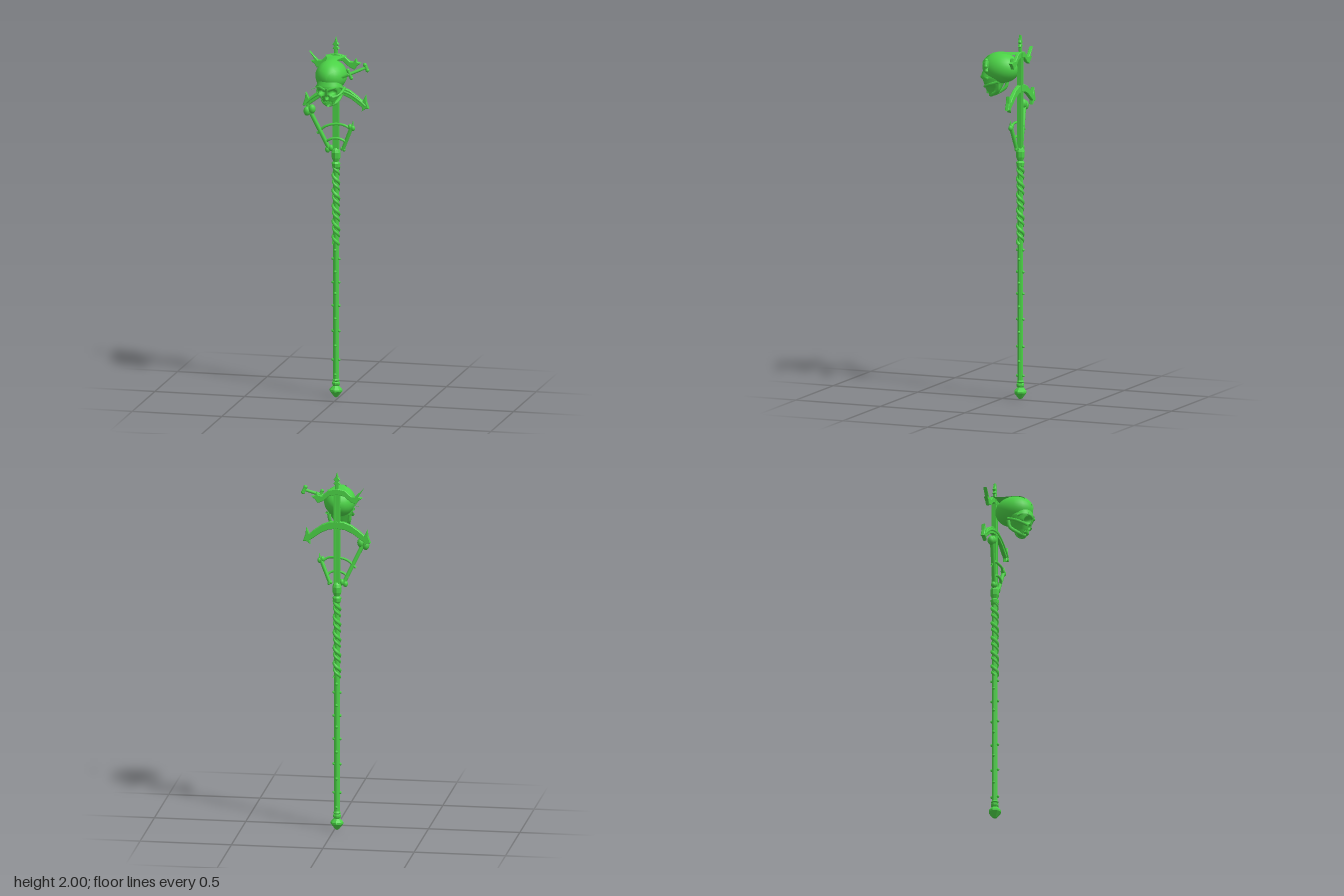
import * as THREE from 'three';

const mat = new THREE.MeshStandardMaterial({ color: 0x4bd246, side: THREE.DoubleSide });
const X = -0.015, Z = -0.1; // axis of the staff
const V = (x, y, z) => new THREE.Vector3(x, y, z);

export function createModel() {
  const root = new THREE.Group();
  root.name = 'skullStaff';

  const add = (name, geo, pos = V(0, 0, 0), parent = root) => {
    const m = new THREE.Mesh(geo, mat);
    m.name = name;
    m.position.copy(pos);
    parent.add(m);
    return m;
  };
  const group = (name) => {
    const g = new THREE.Group();
    g.name = name;
    root.add(g);
    return g;
  };
  // tapered rod from a to b
  const rod = (name, a, b, ra, rb, parent = root, sides = 10) => {
    const d = b.clone().sub(a);
    const m = add(name, new THREE.CylinderGeometry(rb, ra, d.length(), sides), a.clone().add(b).multiplyScalar(0.5), parent);
    m.quaternion.setFromUnitVectors(V(0, 1, 0), d.normalize());
    return m;
  };
  const tube = (name, pts, r, parent = root, seg = 24) =>
    add(name, new THREE.TubeGeometry(new THREE.CatmullRomCurve3(pts), seg, r, 7), undefined, parent);
  // flat plate centred on the staff's plane
  const plate = (name, pts, depth, parent = root) => {
    const shape = new THREE.Shape(pts.map(([x, y]) => new THREE.Vector2(x, y)));
    const b = 0.003;
    const geo = new THREE.ExtrudeGeometry(shape, {
      depth: depth - 2 * b, bevelThickness: b, bevelSize: b, bevelOffset: -b, bevelSegments: 1 });
    return add(name, geo, V(X, 0, Z - depth / 2 + b), parent);
  };
  const mirrored = (pts, f = (p) => p) =>
    [...pts, ...pts.slice(1, -1).reverse().map(f).map(([x, y]) => [-x, y])];

  // Pommel, shaft and collar turned in one profile
  const profile = [[0, 0], [0.012, 0.006], [0.035, 0.036], [0.035, 0.046], [0.017, 0.066], [0.022, 0.075],
    [0.022, 0.085], [0.016, 0.09], [0.021, 0.097], [0.016, 0.106], [0.016, 1.27], [0.022, 1.28], [0.024, 1.3],
    [0.016, 1.31], [0.024, 1.33], [0.026, 1.36], [0.02, 1.375], [0.012, 1.385], [0, 1.385]];
  const shaftGeo = new THREE.LatheGeometry(profile.map(([r, y]) => new THREE.Vector2(r, y)), 8).toNonIndexed();
  shaftGeo.computeVertexNormals();
  add('shaft', shaftGeo, V(X, 0, Z));

  // Studs in pairs, turning a quarter at each level
  const studs = group('studs');
  [0.13, 0.21, 0.29, 0.37, 0.44, 0.51, 0.58, 0.64, 0.7, 0.77, 0.82].forEach((y, i) => {
    for (const s of [-1, 1]) {
      const off = i % 2 ? V(s * 0.018, y, 0) : V(0, y, s * 0.018);
      add('stud', new THREE.SphereGeometry(0.008, 8, 6), off.add(V(X, 0, Z)), studs);
    }
  });

  // Twisted grip
  const grip = group('grip');
  for (const [phase, r, turns] of [[0, 0.01, 5], [2.6, 0.008, 5]]) {
    const pts = [];
    for (let i = 0; i <= 60; i++) {
      const a = phase + (i / 60) * turns * Math.PI * 2;
      pts.push(V(X + 0.014 * Math.cos(a), 0.85 + 0.43 * i / 60, Z + 0.014 * Math.sin(a)));
    }
    tube('gripCord', pts, r, grip, 160);
  }

  // Upper bar and spear tip
  add('upperBar', new THREE.BoxGeometry(0.03, 0.53, 0.018), V(X, 1.64, Z));
  for (const s of [-1, 1]) add('barEdge', new THREE.BoxGeometry(0.008, 0.52, 0.026), V(X + s * 0.012, 1.64, Z));
  plate('spearTip', mirrored([[0, 2], [0.008, 1.972], [0.018, 1.96], [0.009, 1.95], [0.02, 1.935],
    [0.009, 1.932], [0.009, 1.89], [0, 1.89]]), 0.016);

  // Large crescent with hooked ends and a raised ridge
  plate('largeCrescent', mirrored([[0, 1.727], [0.04, 1.723], [0.08, 1.707], [0.125, 1.675], [0.15, 1.652],
    [0.167, 1.687], [0.172, 1.65], [0.185, 1.612], [0.165, 1.61], [0.145, 1.595], [0.148, 1.617],
    [0.118, 1.638], [0.085, 1.662], [0.045, 1.68], [0, 1.686]]), 0.022);
  tube('crescentRidge', [-0.165, -0.13, -0.07, 0, 0.07, 0.13, 0.165].map((x) =>
    V(X + x, 1.706 - 2.9 * x * x, Z + 0.01)), 0.007);

  // Small crescent behind the skull, one arm broken shorter
  plate('smallCrescent', mirrored([[0, 1.91], [0.045, 1.9], [0.08, 1.868], [0.1, 1.868], [0.112, 1.888],
    [0.118, 1.868], [0.14, 1.862], [0.118, 1.845], [0.105, 1.825], [0.075, 1.838], [0.04, 1.868], [0, 1.875]],
  ([x, y]) => (y === 1.888 ? [0.147, 1.915] : [x, y])), 0.02);

  // Side bones with paired knuckles, and the ribs that tie them
  const bone = (name, a, b, r, knob) => {
    const g = group(name);
    rod('boneShaft', a, b, r, r * 1.1, g);
    const side = V(b.y - a.y, a.x - b.x, 0).normalize();
    for (const [end, k] of [[a, 0.7], [b, 1]]) for (const s of [-1, 1]) {
      const m = add('knuckle', new THREE.SphereGeometry(knob * k, 10, 8), end.clone().addScaledVector(side, s * knob * k * 0.75), g);
      m.scale.y = 1.3;
    }
  };
  bone('longBone', V(-0.05, 1.38, -0.09), V(-0.153, 1.595, -0.062), 0.011, 0.02);
  bone('shortBone', V(0.025, 1.38, -0.095), V(0.075, 1.505, -0.085), 0.01, 0.012);
  rod('boneSpike', V(0.078, 1.5, -0.085), V(0.085, 1.54, -0.085), 0.009, 0.002);
  tube('upperRib', [V(-0.115, 1.465, -0.08), V(-0.07, 1.505, -0.08), V(X, 1.52, -0.083), V(0.04, 1.515, -0.08), V(0.075, 1.49, -0.088)], 0.007);
  tube('lowerRib', [V(-0.075, 1.41, -0.09), V(-0.05, 1.432, -0.08), V(X, 1.442, -0.08), V(0.02, 1.437, -0.08), V(0.045, 1.42, -0.09)], 0.007);

  // Cranium
  const skull = group('skull');
  const C = V(-0.013, 1.812, 0.012), R = V(0.085, 0.083, 0.105);
  const cranium = add('cranium', new THREE.SphereGeometry(1, 24, 18), C, skull);
  cranium.scale.copy(R);

  // Face: stacked sections [height, half width, front, back] with sockets pressed in
  const rows = [[1.665, 0.03, 0.078, 0.035], [1.685, 0.036, 0.094, 0.02], [1.705, 0.046, 0.102, 0.01],
    [1.73, 0.063, 0.11, 0], [1.765, 0.069, 0.124, -0.02], [1.8, 0.058, 0.112, -0.02]];
  const face = new THREE.CylinderGeometry(1, 1, 1, 56, 28);
  face.rotateY(Math.PI);
  const p = face.attributes.position;
  for (let i = 0; i < p.count; i++) {
    const t = Math.min(4.9999, (p.getY(i) + 0.5) * 5), k = Math.floor(t);
    const [y, w, f, b] = rows[k].map((v, j) => THREE.MathUtils.lerp(v, rows[k + 1][j], t - k));
    const ux = p.getX(i), uz = p.getZ(i), x = ux * w;
    let z = (f + b) / 2 + Math.sign(uz) * Math.pow(Math.abs(uz), 0.75) * (f - b) / 2;
    if (uz > 0.1) {
      for (const [cx, cy, rx, ry, deep] of [[-0.03, 1.735, 0.022, 0.019, 0.04], [0.03, 1.735, 0.022, 0.019, 0.04], [0, 1.707, 0.011, 0.014, 0.025]]) {
        const d = Math.hypot((x - cx) / rx, (y - cy) / ry);
        z -= deep * (1 - THREE.MathUtils.smoothstep(d, 0.45, 1.05));
      }
    }
    p.setXYZ(i, x, y, z);
  }
  face.computeVertexNormals();
  add('face', face, V(C.x, 0, 0), skull);

  // Brows, cheekbones, jaw and teeth
  for (const s of [-1, 1]) {
    const at = (x, y, z) => V(C.x + s * x, y, z);
    tube('brow', [at(0.004, 1.752, 0.118), at(0.03, 1.762, 0.113), at(0.055, 1.765, 0.085), at(0.068, 1.755, 0.055)], 0.009, skull, 12);
    tube('cheekbone', [at(0.026, 1.708, 0.097), at(0.05, 1.716, 0.08), at(0.068, 1.73, 0.045), at(0.07, 1.745, 0)], 0.008, skull, 12);
    tube('jawSide', [at(0.058, 1.74, 0), at(0.052, 1.7, 0.008), at(0.035, 1.67, 0.045), at(0, 1.659, 0.075)], 0.01, skull, 14);
    for (let i = 0; i < 4; i++) {
      const x = 0.004 + i * 0.0075;
      add('tooth', new THREE.BoxGeometry(0.006, 0.016, 0.008), at(x, 1.679, 0.091 - x * x * 22), skull);
    }
  }
  rod('noseRidge', V(C.x, 1.715, 0.108), V(C.x, 1.765, 0.122), 0.004, 0.008, skull);

  // Crest strap from the staff over the skull, ending in a winged point
  const strap = new THREE.PlaneGeometry(2, 1, 8, 36);
  const q = strap.attributes.position;
  const widths = [0.06, 0.048, 0.037, 0.031, 0.028, 0.026, 0.026, 0.03, 0.048, 0.012, 0.001];
  for (let i = 0; i < q.count; i++) {
    const v = 0.5 - q.getY(i), t = Math.min(9.9999, v * 10), k = Math.floor(t);
    const x = q.getX(i) * THREE.MathUtils.lerp(widths[k], widths[k + 1], t - k);
    const drop = Math.sqrt(Math.max(0, 1 - (x / R.x) ** 2)) * 1.05;
    if (v < 0.4) q.setXYZ(i, x, C.y + R.y * (v / 0.4 * drop + (1 - v / 0.4) * 1.05), Z + v / 0.4 * (C.z - Z));
    else {
      const a = (v - 0.4) / 0.6 * 1.62; // wings sweep upward at the front
      const b = Math.max(0, a - Math.max(0, a - 0.9) * Math.abs(x) * 8);
      q.setXYZ(i, x, C.y + R.y * drop * Math.cos(b), C.z + R.z * drop * Math.sin(b));
    }
  }
  strap.computeVertexNormals();
  add('crestStrap', strap, V(C.x, 0, 0), skull);

  // Dagger driven through the skull
  const dagger = group('dagger');
  const tip = V(-0.1, 1.752, 0.127), end = V(0.188, 1.868, 0.013);
  const on = (t) => tip.clone().lerp(end, t);
  const blade = rod('blade', on(0.7), tip, 0.012, 0.001, dagger, 4);
  blade.scale.z = 0.4;
  rod('handle', on(0.66), end, 0.009, 0.008, dagger);
  const cross = V(-0.42, 1, 0.1).normalize();
  for (const [t, half, r] of [[0.69, 0.026, 0.009], [0.98, 0.018, 0.01]]) {
    rod('crossPiece', on(t).addScaledVector(cross, -half), on(t).addScaledVector(cross, half), r, r, dagger);
    for (const s of [-1, 1]) add('crossEnd', new THREE.SphereGeometry(r * 1.15, 8, 6), on(t).addScaledVector(cross, s * half * 0.9), dagger);
  }
  return root;
}
